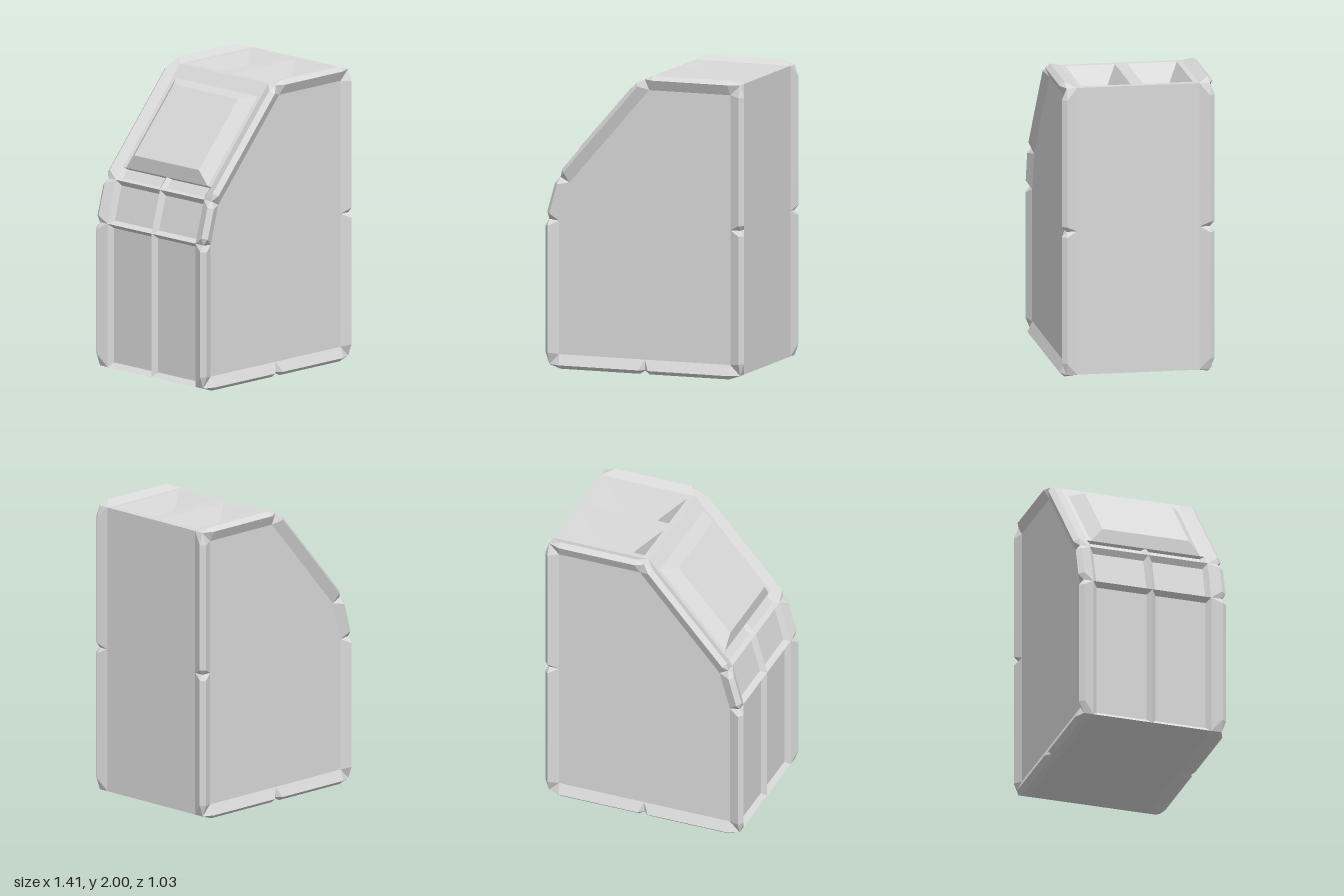
import * as THREE from 'three';

const grey = new THREE.MeshStandardMaterial({ color: 0xd9d9d9 });
grey.name = 'grey';

// Side profile of the cabinet core, counter-clockwise; some points only split the edge bars
const P = [[-0.68, 0.028], [0, 0.028], [0.68, 0.028], [0.68, 1], [0.68, 1.973], [0, 1.973], [-0.6, 1.285], [-0.68, 1]]
  .map(([x, y]) => new THREE.Vector2(x, y));
const N = P.length;
const Z = 0.48, ZIN = 0.41, INNER = 0.07, RISE = 0.027;

// Geometry from a list of polygons (fan-triangulated, flat normals)
function polys(list) {
  const pos = [];
  for (const p of list)
    for (let i = 1; i < p.length - 1; i++) pos.push(...p[0], ...p[i], ...p[i + 1]);
  const g = new THREE.BufferGeometry();
  g.setAttribute('position', new THREE.Float32BufferAttribute(pos, 3));
  g.computeVertexNormals();
  return g;
}

const ring = ([u0, u1, v0, v1], h) => [[u0, v0, h], [u1, v0, h], [u1, v1, h], [u0, v1, h]];

// Flat rectangle
const plate = (r) => polys([ring(r, 0)]);

// Bevelled pan (h < 0) or raised block (h > 0) between two rectangles
function frustum(outer, inner, h) {
  const o = ring(outer, 0), n = ring(inner, h), list = [n];
  for (let k = 0; k < 4; k++) {
    const j = (k + 1) % 4;
    list.push([o[k], o[j], n[j], n[k]]);
  }
  return polys(list);
}

const tangent = (i) => P[(i + 1) % N].clone().sub(P[i % N]).normalize();
const outward = (t) => new THREE.Vector2(t.y, -t.x);

// One end of an edge bar at profile vertex v; dir is +1 at its start and -1 at its end
function barEnd(v, t, dir) {
  const ta = tangent(v + N - 1), tb = tangent(v);
  const na = outward(ta), nb = outward(tb), n = outward(t), c = P[v];
  const m = na.clone().add(nb).multiplyScalar(-INNER / (1 + na.dot(nb))).add(c);
  const turn = Math.acos(Math.min(1, ta.dot(tb))) / (Math.PI / 2);
  const r = c.clone().addScaledVector(t, dir * (0.035 + 0.045 * turn));
  const s = r.clone().addScaledVector(n, RISE);
  return [[m.x, m.y, Z], [r.x, r.y, Z + 0.033], [s.x, s.y, Z], [c.x, c.y, ZIN], [c.x, c.y, Z]];
}

// Bar along profile edge i, on the front (side 1) or back (side -1)
function edgeBar(i, side) {
  const t = tangent(i);
  const A = barEnd(i, t, 1), B = barEnd((i + 1) % N, t, -1);
  const list = [];
  for (let k = 0; k < 3; k++) {
    list.push([A[k], A[k + 1], B[k + 1], B[k]]);
    list.push([A[4], A[k + 1], A[k]], [B[4], B[k], B[k + 1]]);
  }
  return polys(side > 0 ? list : list.map((p) => p.map(([x, y, z]) => [x, y, -z]).reverse()));
}

export function createModel() {
  const model = new THREE.Group();
  const add = (name, geometry, parent = model) => {
    const mesh = new THREE.Mesh(geometry, grey);
    mesh.name = name;
    parent.add(mesh);
    return mesh;
  };

  // Flat front and back walls
  add('frontWall', new THREE.ShapeGeometry(new THREE.Shape(P))).position.z = Z;
  const back = add('backWall', new THREE.ShapeGeometry(new THREE.Shape(P.map((p) => new THREE.Vector2(-p.x, p.y)).reverse())));
  back.position.z = -Z;
  back.rotation.y = Math.PI;

  // Group lying on profile edge i: local x along the edge, y along depth, z outward
  const faceGroup = (i, name) => {
    const t = tangent(i), n = outward(t), g = new THREE.Group();
    const m = new THREE.Matrix4().makeBasis(
      new THREE.Vector3(t.x, t.y, 0), new THREE.Vector3(0, 0, 1), new THREE.Vector3(n.x, n.y, 0));
    m.setPosition(P[i].x, P[i].y, 0);
    g.applyMatrix4(m);
    g.name = name;
    model.add(g);
    return [g, P[i].distanceTo(P[(i + 1) % N])];
  };

  // Plain bottom and left-hand wall
  for (const i of [0, 1, 2, 3]) {
    const [g, L] = faceGroup(i, i < 2 ? 'bottom' : 'sideWall');
    add('panel', plate([0, L, -Z, Z]), g);
  }

  // Top with two deep tapered wells
  const [top, topL] = faceGroup(4, 'top');
  const lid = new THREE.Shape([[0, -Z], [topL, -Z], [topL, Z], [0, Z]].map((p) => new THREE.Vector2(...p)));
  for (const c of [-0.208, 0.208]) {
    const outer = [0.045, 0.64, c - 0.166, c + 0.166];
    lid.holes.push(new THREE.Path(ring(outer, 0).map(([u, v]) => new THREE.Vector2(u, v)).reverse()));
    add('well', frustum(outer, [0.215, 0.475, c - 0.07, c + 0.07], -0.15), top);
  }
  add('lid', new THREE.ShapeGeometry(lid), top);

  // Margins under the edge bars, and a pair of shallow pans meeting in a ridge
  const margins = (g, L) => {
    for (const s of [-1, 1]) add('margin', plate(s < 0 ? [0, L, -Z, -ZIN] : [0, L, ZIN, Z]), g);
  };
  const pans = (g, u0, u1, i0, i1, depth) => {
    for (const v of [-ZIN, 0])
      add('recessedPanel', frustum([u0, u1, v, v + ZIN], [i0, i1, v + 0.03, v + ZIN - 0.03], -depth), g);
  };

  // Slope with raised block, and a narrow recessed strip at its foot
  const [slope, sL] = faceGroup(5, 'slope');
  margins(slope, sL);
  add('slopePanel', plate([0, sL - 0.1, -ZIN, ZIN]), slope);
  add('raisedBlock', frustum([sL - 0.807, sL - 0.1, -0.38, 0.38], [sL - 0.731, sL - 0.171, -0.3, 0.3], 0.067), slope);
  pans(slope, sL - 0.1, sL, sL - 0.1, sL - 0.03, 0.022);

  // Small tilted face and tall lower face, both with recessed panels
  for (const [i, name] of [[6, 'tiltedFace'], [7, 'lowerFace']]) {
    const [g, L] = faceGroup(i, name);
    margins(g, L);
    pans(g, 0, L, 0.03, L - 0.03, 0.033);
  }

  // Edge bars around the front and back
  for (const side of [1, -1]) {
    const bars = new THREE.Group();
    bars.name = side > 0 ? 'frontEdgeBars' : 'backEdgeBars';
    model.add(bars);
    for (let i = 0; i < N; i++) add('edgeBar', edgeBar(i, side), bars);
  }
  return model;
}
